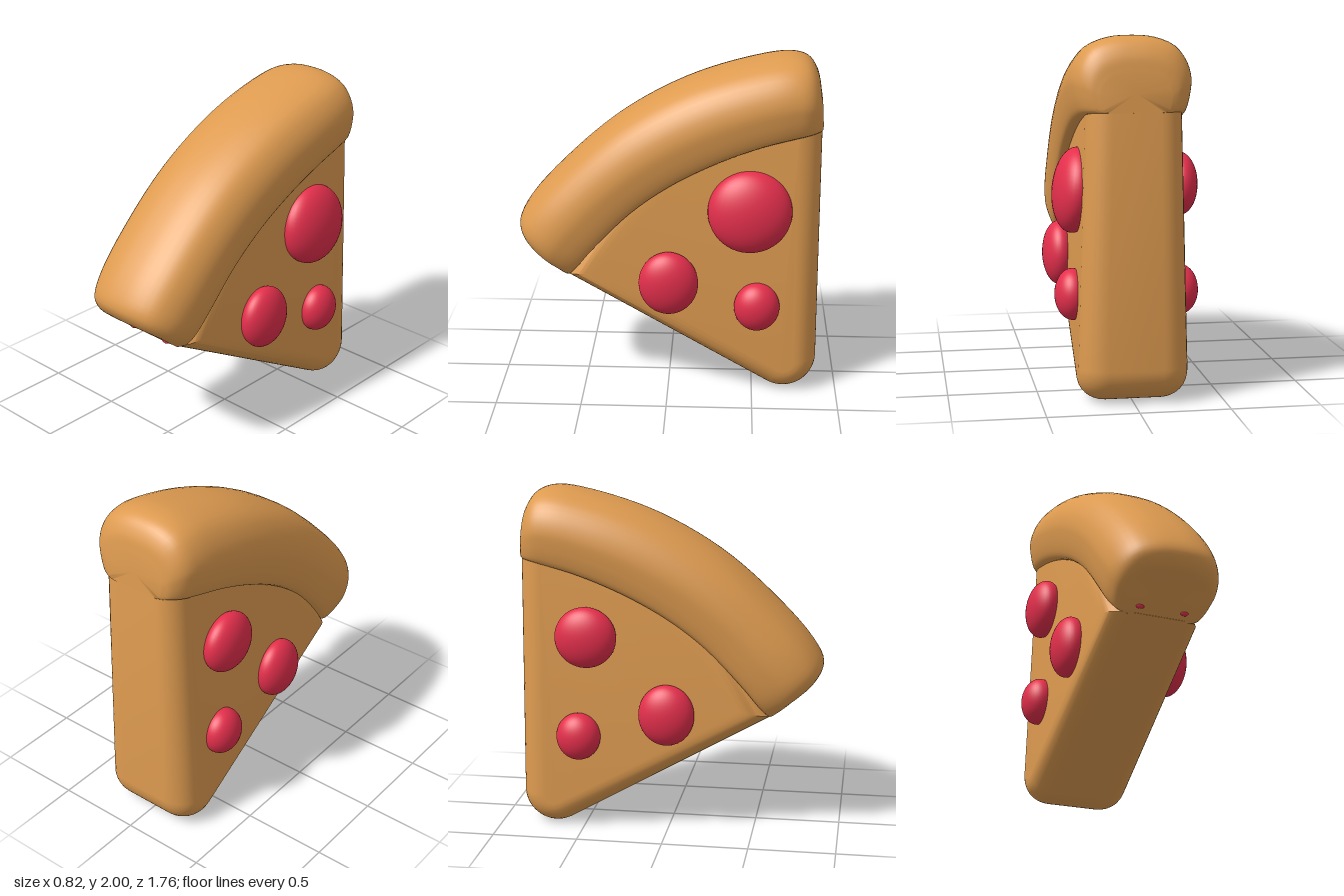
import * as THREE from 'three';
import { toCreasedNormals } from 'three/addons/utils/BufferGeometryUtils.js';

const dough = new THREE.MeshStandardMaterial({ name: 'bakedDough', color: 0xde9b50 });
const red = new THREE.MeshStandardMaterial({ name: 'pepperoniRed', color: 0xe42f4c });

// Wedge-shaped slice, drawn in the z-y plane and extruded across x
function sliceGeometry() {
  const s = new THREE.Shape();
  s.moveTo(0.605, 0.706);
  s.lineTo(0.3, 1.2);
  s.lineTo(0, 1.45);
  s.lineTo(-0.4, 1.65);
  s.lineTo(-0.855, 1.73);
  s.lineTo(-0.873, 1.6);
  s.absarc(-0.684, 0.198, 0.196, Math.PI, Math.PI * 1.666, false);
  s.closePath();
  const half = 0.29, bevel = 0.145, size = 0.135;
  const g = new THREE.ExtrudeGeometry(s, {
    depth: 2 * (half - bevel), bevelThickness: bevel, bevelSize: size,
    bevelOffset: -size, bevelSegments: 8, curveSegments: 16,
  });
  g.translate(0, 0, -(half - bevel));
  g.rotateY(-Math.PI / 2);
  // Slightly thinner towards the crust
  const p = g.attributes.position;
  for (let i = 0; i < p.count; i++) p.setX(i, p.getX(i) * (1.06 - 0.1 * p.getY(i)) - 0.006);
  return toCreasedNormals(g, 0.75);
}

// Curved crust, lofted through stations of [inner z, inner y, outer z, outer y, half width]
function crustGeometry() {
  const stations = [
    [0.59, 0.697, 0.78, 0.85, 0.215],
    [0.565, 0.725, 0.855, 0.913, 0.275],
    [0.52, 0.78, 0.885, 0.99, 0.31],
    [0.44, 0.88, 0.82, 1.12, 0.33],
    [0.22, 1.11, 0.57, 1.39, 0.338],
    [0.0, 1.275, 0.27, 1.64, 0.342],
    [-0.25, 1.41, -0.09, 1.84, 0.344],
    [-0.5, 1.51, -0.45, 1.96, 0.342],
    [-0.68, 1.56, -0.69, 2.0, 0.33],
    [-0.79, 1.583, -0.79, 1.975, 0.305],
    [-0.85, 1.592, -0.845, 1.9, 0.252],
    [-0.877, 1.595, -0.866, 1.8, 0.19],
  ];
  const side = [[0.7, 0], [0.88, 0.03], [0.945, 0.14], [0.99, 0.32], [1, 0.47],
    [0.925, 0.67], [0.73, 0.865], [0.38, 0.975]];
  const outline = [[0, 0], ...side, [0, 1], ...side.slice().reverse().map(([u, v]) => [-u, v])];
  const spline = (pts, closed) =>
    new THREE.CatmullRomCurve3(pts.map((p) => new THREE.Vector3(...p)), closed);
  const inner = spline(stations.map((p) => [p[4], p[1], p[0]]));
  const outer = spline(stations.map((p) => [p[4], p[3], p[2]]));
  const ring = spline(outline.map(([u, v]) => [u, v, 0]), true).getPoints(54).slice(0, -1);

  const pos = [], index = [], N = ring.length, S = 55;
  for (let s = 0; s <= S; s++) {
    const a = inner.getPoint(s / S), b = outer.getPoint(s / S);
    for (const r of ring) {
      const p = a.clone().lerp(b, r.y);
      pos.push(a.x * r.x, p.y, p.z);
    }
  }
  for (let s = 0; s < S; s++) {
    for (let i = 0; i < N; i++) {
      const a = s * N + i, b = s * N + (i + 1) % N;
      index.push(a, a + N, b, b, a + N, b + N);
    }
  }
  // End caps
  for (const s of [0, S]) {
    const mid = inner.getPoint(s / S).lerp(outer.getPoint(s / S), 0.5);
    const c = pos.length / 3;
    pos.push(0, mid.y, mid.z);
    for (let i = 0; i < N; i++) {
      const a = s * N + i, b = s * N + (i + 1) % N;
      if (s === 0) index.push(c, a, b);
      else index.push(c, b, a);
    }
  }
  const g = new THREE.BufferGeometry();
  g.setAttribute('position', new THREE.Float32BufferAttribute(pos, 3));
  g.setIndex(index);
  return toCreasedNormals(g, 0.9);
}

export function createModel() {
  const model = new THREE.Group();
  model.name = 'pizzaSlice';
  const add = (geometry, material, name) => {
    const m = new THREE.Mesh(geometry, material);
    m.name = name;
    model.add(m);
    return m;
  };
  add(sliceGeometry(), dough, 'slice');
  add(crustGeometry(), dough, 'crust');

  // Domed pepperoni: [x, y, z, half thickness, radius in y, radius in z, tilt]
  const ball = new THREE.SphereGeometry(1, 40, 28);
  const toppings = [
    [0.28, 1.14, -0.47, 0.125, 0.24, 0.242, 0.1],
    [0.312, 0.705, -0.005, 0.1, 0.19, 0.173, 0],
    [0.3, 0.56, -0.52, 0.1, 0.145, 0.133, 0],
    [-0.312, 1.165, -0.47, 0.1, 0.178, 0.18, 0],
    [-0.312, 0.72, 0.0, 0.1, 0.18, 0.163, 0],
    [-0.312, 0.57, -0.52, 0.1, 0.14, 0.13, 0],
  ];
  for (const [x, y, z, rx, ry, rz, tilt] of toppings) {
    const m = add(ball, red, x > 0 ? 'leftPepperoni' : 'rightPepperoni');
    m.position.set(x, y, z);
    m.scale.set(rx, ry, rz);
    m.rotation.z = tilt;
  }

  // Tiny red specks under the front end of the crust
  for (const x of [-0.13, 0.135]) {
    const m = add(ball, red, 'speck');
    m.position.set(x, 0.738, 0.634);
    m.scale.set(0.026, 0.015, 0.013);
  }
  return model;
}
